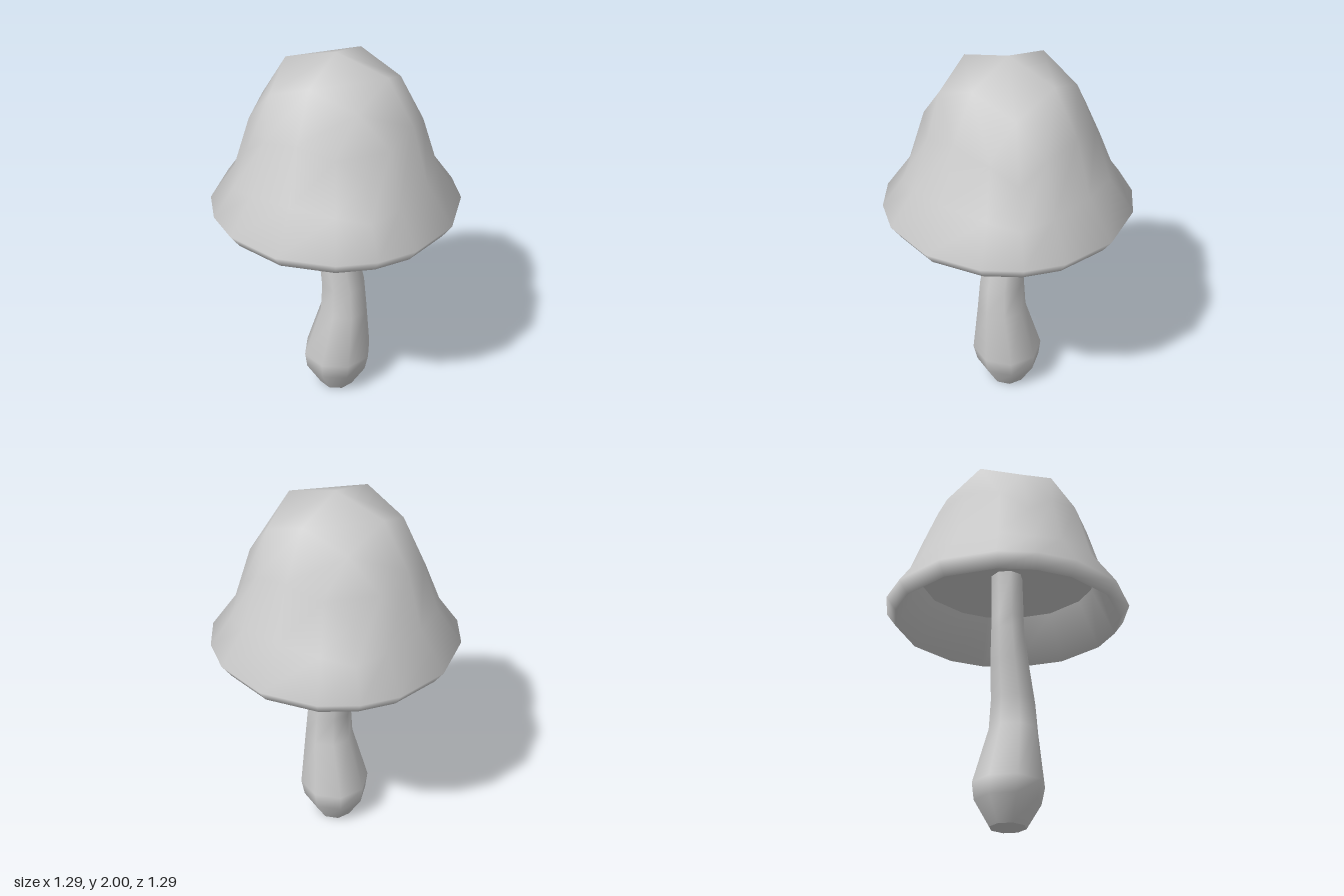
import * as THREE from 'three';
import { mergeVertices } from 'three/addons/utils/BufferGeometryUtils.js';

const material = new THREE.MeshStandardMaterial({ color: 0xcccccc });

// Bell outline: [height on a unit sphere, radius, y], from the tip to the rim
const BELL = [[1, 0, 2], [0.894, 0.28, 1.92], [0.707, 0.42, 1.69], [0.447, 0.505, 1.39], [0, 0.645, 1.19]];
const CEILING = { radius: 0.47, y: 1.37 };
const LIP = { radius: 0.595, y: 1.12 };

function bellAt(h) {
  const i = Math.max(1, BELL.findIndex((p) => h >= p[0] - 1e-3));
  const [h0, r0, y0] = BELL[i - 1], [h1, r1, y1] = BELL[i];
  const t = (h0 - h) / (h0 - h1);
  return { radius: r0 + (r1 - r0) * t, y: y0 + (y1 - y0) * t };
}

function smooth(geometry) {
  geometry.deleteAttribute('normal');
  geometry.deleteAttribute('uv');
  const merged = mergeVertices(geometry, 1e-4);
  merged.computeVertexNormals();
  return merged;
}

// A gridded cube rounded into a bell, its underside pushed up into a hollow
function capGeometry(underside) {
  const geo = new THREE.BoxGeometry(2, 2, 2, 4, 4, 4);
  const pos = geo.attributes.position;
  const v = new THREE.Vector3();
  for (let i = 0; i < pos.count; i++) {
    v.fromBufferAttribute(pos, i);
    const angle = Math.atan2(v.z, v.x);
    const spread = Math.max(Math.abs(v.x), Math.abs(v.z));
    let ring;
    if (v.y < -0.9) ring = { radius: CEILING.radius * spread, y: CEILING.y };
    else if (v.y < -0.1) ring = LIP;
    else ring = bellAt(v.y / v.length());
    pos.setXYZ(i, ring.radius * Math.cos(angle), ring.y, ring.radius * Math.sin(angle));
  }
  // The fourth of the six cube faces is the ceiling; keep it apart for a sharp edge
  const all = Array.from(geo.index.array);
  const face = all.length / 6;
  geo.setIndex(underside ? all.slice(3 * face, 4 * face) : [...all.slice(0, 3 * face), ...all.slice(4 * face)]);
  geo.clearGroups();
  return smooth(geo);
}

// Stem sections: [y, centre x, centre z, radius], from the ground up
const STEM = [
  [0, 0.005, 0, 0.095], [0.13, 0.005, 0, 0.173], [0.22, 0.01, 0.002, 0.188],
  [0.52, 0.05, 0.007, 0.13], [0.68, 0.047, 0.007, 0.118], [0.88, 0.012, 0.008, 0.104],
  [1.05, -0.01, 0.01, 0.09], [1.12, -0.012, 0.01, 0.088], [CEILING.y, -0.02, 0.01, 0.085],
];

function stemGeometry() {
  const last = STEM.length - 1;
  const geo = new THREE.CylinderGeometry(1, 1, last, 8, last, true);
  const pos = geo.attributes.position;
  for (let i = 0; i < pos.count; i++) {
    const [y, cx, cz, r] = STEM[Math.round(pos.getY(i) + last / 2)];
    pos.setXYZ(i, cx + r * pos.getX(i), y, cz + r * pos.getZ(i));
  }
  return smooth(geo);
}

export function createModel() {
  const group = new THREE.Group();
  group.name = 'mushroom';
  const add = (name, geometry) => {
    const mesh = new THREE.Mesh(geometry, material);
    mesh.name = name;
    group.add(mesh);
  };
  add('cap', capGeometry(false));
  add('capCeiling', capGeometry(true));
  add('stem', stemGeometry());
  const [y, cx, cz, r] = STEM[0];
  add('stemBase', new THREE.CircleGeometry(r, 8).rotateX(Math.PI / 2).translate(cx, y, cz));
  return group;
}
